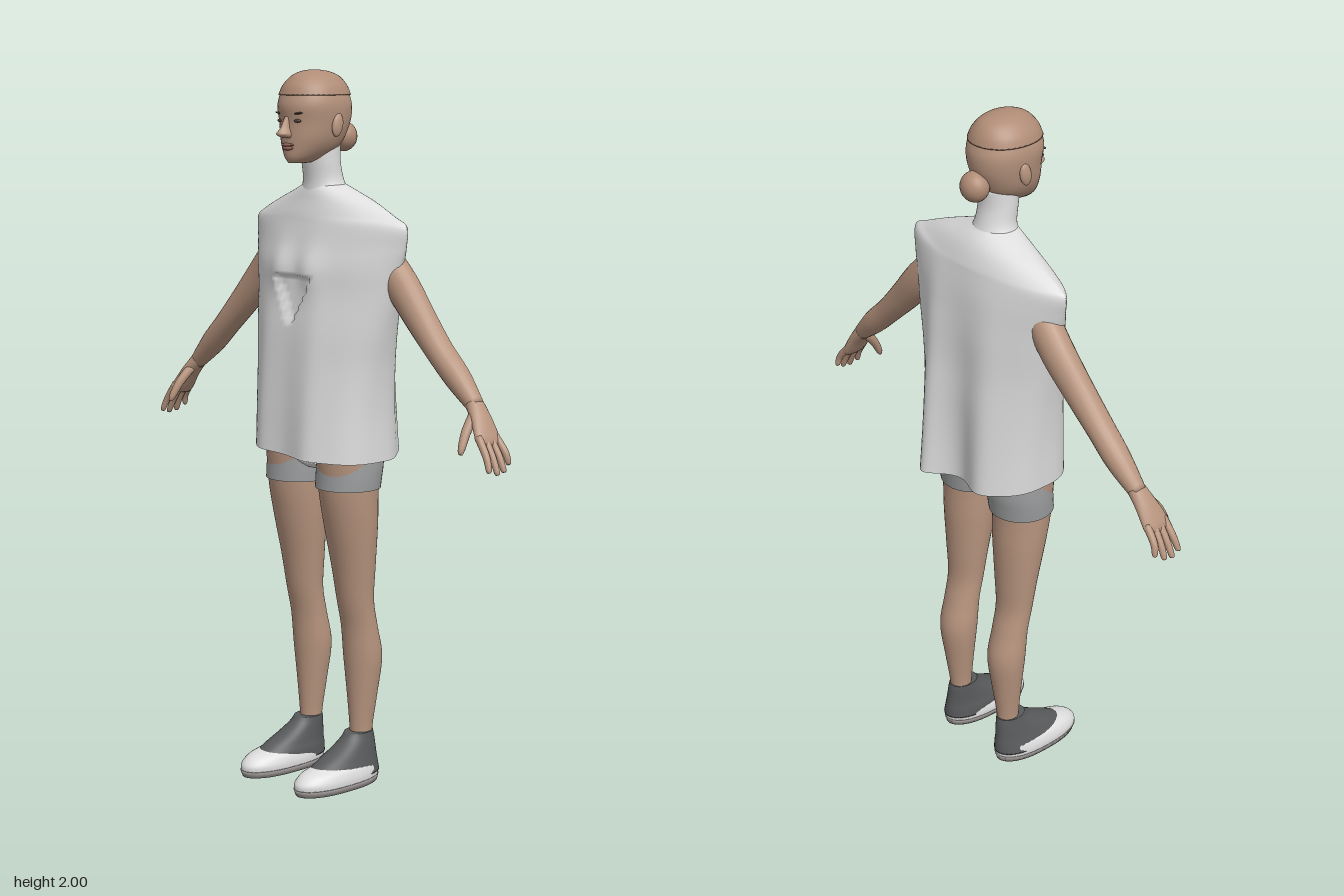
import * as THREE from 'three';

const material = (name, color, side = THREE.FrontSide) => {
  const m = new THREE.MeshStandardMaterial({ color, side });
  m.name = name;
  return m;
};

// Surface through closed rings of points, listed from bottom to top
function loft(rings, capped = true) {
  const rows = [...rings];
  if (capped) {
    const collapse = ring => {
      const c = new THREE.Vector3();
      ring.forEach(p => c.addScaledVector(p, 1 / ring.length));
      return ring.map(() => c);
    };
    rows.unshift(collapse(rings[0]));
    rows.push(collapse(rings[rings.length - 1]));
  }
  const n = rows[0].length, index = [];
  for (let i = 0; i < rows.length - 1; i++) {
    for (let j = 0; j < n; j++) {
      const a = i * n + j, b = i * n + (j + 1) % n;
      index.push(a, a + n, b, b, a + n, b + n);
    }
  }
  const g = new THREE.BufferGeometry().setFromPoints(rows.flat());
  g.setIndex(index);
  g.computeVertexNormals();
  return g;
}

// Smooth rows of numbers between the given ones
function smooth(keys, steps) {
  const out = [], last = keys.length - 1;
  for (let s = 0; s <= last * steps; s++) {
    const i = Math.min(Math.floor(s / steps), last - 1), t = s / steps - i;
    const k = d => keys[Math.min(Math.max(i + d, 0), last)];
    out.push(keys[i].map((_, c) => {
      const [p, q, r, u] = [k(-1)[c], k(0)[c], k(1)[c], k(2)[c]];
      return q + 0.5 * t * (r - p + t * (2 * p - 5 * q + 4 * r - u + t * (3 * (q - r) + u - p)));
    }));
  }
  return out;
}

// Level cross-section: height, half width, front z, back z, pointedness, centre x
function section([y, w, zf, zb, e = 1, x = 0], n = 40) {
  return Array.from({ length: n }, (_, j) => {
    const a = j / n * Math.PI * 2, s = Math.sin(a);
    return new THREE.Vector3(x + w * Math.cos(a), y,
      (zf + zb) / 2 + (zf - zb) / 2 * Math.sign(s) * Math.abs(s) ** e);
  });
}

const body = (keys, steps = 5, n = 40, capped = true) =>
  loft(smooth(keys, steps).map(k => section(k, n)), capped);

// Limb along a path: x, y, z, radius along z, radius across
function limb(keys, steps = 5, n = 20) {
  const pts = smooth(keys, steps);
  const at = i => new THREE.Vector3(...pts[Math.min(Math.max(i, 0), pts.length - 1)].slice(0, 3));
  return loft(pts.map((p, i) => {
    const d = at(i + 1).sub(at(i - 1)).normalize();
    const u = new THREE.Vector3(0, 0, 1).addScaledVector(d, -d.z).normalize();
    const w = u.clone().cross(d);
    return Array.from({ length: n }, (_, j) => {
      const a = j / n * Math.PI * 2;
      return at(i).addScaledVector(u, p[3] * Math.cos(a)).addScaledVector(w, p[4] * Math.sin(a));
    });
  }));
}

export function createModel() {
  const model = new THREE.Group();
  model.name = 'woman';
  const skin = material('skin', 0xb8957f);
  const hair = material('hair', 0xb08c76);
  const white = material('white cloth', 0xdedede, THREE.DoubleSide);
  const grey = material('grey shorts', 0x9b9c9d, THREE.DoubleSide);
  const dark = material('dark shoe', 0x57595a);
  const rubber = material('shoe sole', 0x9c9694);
  const lips = material('lips', 0x94665a);
  const eye = material('eyes', 0x54433b);
  const add = (name, geometry, mat) => {
    const mesh = new THREE.Mesh(geometry, mat);
    mesh.name = name;
    model.add(mesh);
    return mesh;
  };
  const ball = (name, mat, x, y, z, sx, sy, sz) => {
    const mesh = add(name, new THREE.SphereGeometry(1, 24, 16), mat);
    mesh.position.set(x, y, z);
    mesh.scale.set(sx, sy, sz);
    return mesh;
  };

  // Head, hair cap and bun
  const skull = [
    [1.93, 0.087, 0.128, -0.073, 0.9], [1.955, 0.077, 0.118, -0.064, 0.95],
    [1.98, 0.055, 0.096, -0.044, 1], [1.993, 0.032, 0.068, -0.012, 1], [1.998, 0.008, 0.04, 0.02, 1],
  ];
  add('head', body([
    [1.75, 0.022, 0.118, 0.05, 0.9], [1.765, 0.042, 0.126, 0, 0.9], [1.79, 0.062, 0.128, -0.04, 0.85],
    [1.82, 0.076, 0.129, -0.06, 0.85], [1.86, 0.085, 0.129, -0.076, 0.85], [1.9, 0.09, 0.134, -0.08, 0.85],
    ...skull]), skin);
  add('hairCap', body(skull.map(([y, w, f, b, e]) => [y + 0.002, w + 0.003, f + 0.003, b - 0.003, e])), hair);
  ball('bun', hair, 0, 1.818, -0.077, 0.042, 0.042, 0.038);

  // Face
  add('nose', body([
    [1.818, 0.013, 0.142, 0.11], [1.828, 0.018, 0.163, 0.11], [1.845, 0.011, 0.15, 0.11],
    [1.875, 0.008, 0.134, 0.11]], 4, 20), skin);
  ball('upperLip', lips, 0, 1.799, 0.126, 0.024, 0.005, 0.009);
  ball('lowerLip', lips, 0, 1.79, 0.125, 0.02, 0.006, 0.009);
  for (const s of [-1, 1]) {
    ball('eye', eye, s * 0.034, 1.864, 0.12, 0.013, 0.005, 0.007);
    ball('brow', eye, s * 0.036, 1.884, 0.121, 0.019, 0.003, 0.007).rotation.z = s * 0.1;
    ball('ear', skin, s * 0.087, 1.852, 0.022, 0.01, 0.032, 0.018).rotation.x = -0.2;
  }

  // Covered neck
  add('neck', body([
    [1.58, 0.12, 0.06, -0.1], [1.66, 0.08, 0.052, -0.075], [1.7, 0.059, 0.05, -0.06],
    [1.75, 0.055, 0.057, -0.049], [1.8, 0.054, 0.066, -0.05]]), white);

  // Loose tunic, open at the hem, with folds and a V-shaped front notch
  const tunicRings = smooth([
    [0.95, 0.209, 0.155, -0.165, 0.7, 0.008], [1.08, 0.213, 0.148, -0.16, 0.75, 0.006],
    [1.2, 0.225, 0.139, -0.155, 0.85, 0.006], [1.3, 0.243, 0.129, -0.148, 0.95, 0.008],
    [1.4, 0.265, 0.113, -0.143, 1.1, 0.01], [1.47, 0.28, 0.104, -0.137, 1.2, 0.01],
    [1.53, 0.296, 0.088, -0.13, 1.35, 0.01], [1.585, 0.304, 0.074, -0.12, 1.5, 0.008],
    [1.61, 0.265, 0.068, -0.114, 1.5, 0], [1.645, 0.185, 0.058, -0.1, 1.3, 0],
    [1.67, 0.115, 0.052, -0.084, 1.15, 0], [1.69, 0.06, 0.046, -0.064, 1, 0],
  ], 8).map(k => section(k, 128));
  const bump = (v, c, r) => Math.exp(-(((v - c) / r) ** 2));
  tunicRings.flat().forEach(p => {
    const low = THREE.MathUtils.clamp((1.6 - p.y) / 0.65, 0, 1);
    if (p.z > -0.01) {
      p.z += 0.012 * bump(Math.abs(p.x), 0.06, 0.04) * bump(p.y, 1.46, 0.06);
      p.z += 0.01 * low * (bump(Math.abs(p.x), 0.1, 0.04) - bump(p.x, 0, 0.05));
      if (p.y > 1.31 && p.y < 1.44 && Math.abs(p.x) < (p.y - 1.31) * 0.55) p.z -= 0.012;
    } else {
      p.z -= low * (0.038 * bump(p.x, 0.11, 0.045) + 0.016 * bump(p.x, -0.11, 0.05) - 0.03 * bump(p.x, 0, 0.06));
    }
    p.y -= low * 0.06 * p.x;
  });
  add('tunic', loft(tunicRings, false), white);

  // Hips of the shorts
  add('shortsHips', body([
    [0.9, 0.06, 0.04, -0.06], [0.93, 0.15, 0.07, -0.11, 0.8], [1.0, 0.185, 0.085, -0.125, 0.8],
    [1.12, 0.17, 0.08, -0.1]]), white);

  for (const s of [-1, 1]) {
    const side = s > 0 ? 'left' : 'right';
    const place = keys => keys.map(([x, ...rest]) => [s * x, ...rest]);

    // Arm and hand
    add(side + 'Arm', limb(place([
      [0.2, 1.515, -0.028, 0.044, 0.048], [0.28, 1.43, -0.035, 0.044, 0.05],
      [0.36, 1.345, -0.03, 0.041, 0.044], [0.44, 1.265, -0.025, 0.039, 0.037],
      [0.51, 1.2, -0.024, 0.036, 0.035], [0.58, 1.135, -0.02, 0.024, 0.023]])), skin);
    add(side + 'Palm', limb(place([
      [0.57, 1.145, -0.021, 0.025, 0.023], [0.605, 1.105, -0.014, 0.034, 0.019],
      [0.635, 1.06, -0.007, 0.042, 0.015], [0.645, 1.04, -0.005, 0.036, 0.01]])), skin);
    for (let f = 0; f < 4; f++) {
      const z = 0.024 - f * 0.02, tip = 0.034 - f * 0.026, d = [0.008, 0, 0.004, 0.02][f];
      add(side + 'Finger', limb(place([
        [0.632, 1.065, z, 0.011, 0.011], [0.666, 1.015 + d / 2, (z + tip) / 2, 0.01, 0.01],
        [0.685 - d / 2, 0.978 + d, tip, 0.008, 0.008], [0.688 - d / 2, 0.971 + d, tip, 0.004, 0.004]]), 4, 12), skin);
    }
    add(side + 'Thumb', limb(place([
      [0.59, 1.115, 0.0, 0.014, 0.014], [0.598, 1.075, 0.035, 0.013, 0.013],
      [0.605, 1.035, 0.058, 0.01, 0.01], [0.607, 1.02, 0.064, 0.005, 0.005]]), 4, 12), skin);

    // Leg
    const offset = x => keys => keys.map(([y, w, f, b, e = 1, dx = 0]) => [y, w, f, b, e, s * (x + dx)]);
    add(side + 'Leg', body(offset(0.107)([
      [0.08, 0.03, -0.02, -0.085], [0.15, 0.031, -0.019, -0.086], [0.25, 0.043, -0.013, -0.1],
      [0.36, 0.056, -0.004, -0.113], [0.45, 0.055, 0.004, -0.094], [0.53, 0.057, 0.02, -0.078],
      [0.63, 0.067, 0.037, -0.08], [0.75, 0.079, 0.063, -0.085], [0.85, 0.085, 0.081, -0.086],
      [0.98, 0.092, 0.09, -0.095]])), skin);

    // Shorts leg, slipping under the thigh at the front
    add(side + 'ShortsLeg', body(offset(0.105)([
      [0.855, 0.092, 0.089, -0.093], [0.89, 0.094, 0.086, -0.098], [0.93, 0.094, 0.083, -0.104],
      [1.0, 0.09, 0.08, -0.105]]), 4, 40, false), grey);

    // Shoe
    const shoe = offset(0.116);
    add(side + 'Sole', body(shoe([
      [0, 0.058, 0.192, -0.095, 0.8], [0.018, 0.063, 0.199, -0.1, 0.8]]), 2), rubber);
    add(side + 'ShoeSides', body(shoe([
      [0.018, 0.062, 0.197, -0.098, 0.8], [0.035, 0.062, 0.195, -0.098, 0.8],
      [0.055, 0.056, 0.172, -0.096, 0.85], [0.068, 0.045, 0.13, -0.09, 0.9]])), white);
    add(side + 'ShoeUpper', body(shoe([
      [0.03, 0.058, 0.13, -0.101, 0.8], [0.056, 0.056, 0.142, -0.1, 0.9, -0.002],
      [0.078, 0.049, 0.112, -0.097, 0.9, -0.003], [0.105, 0.042, 0.058, -0.094, 0.9, -0.005],
      [0.128, 0.037, 0.02, -0.092, 1, -0.007], [0.145, 0.034, 0.003, -0.088, 1, -0.008]])), dark);
  }
  return model;
}
